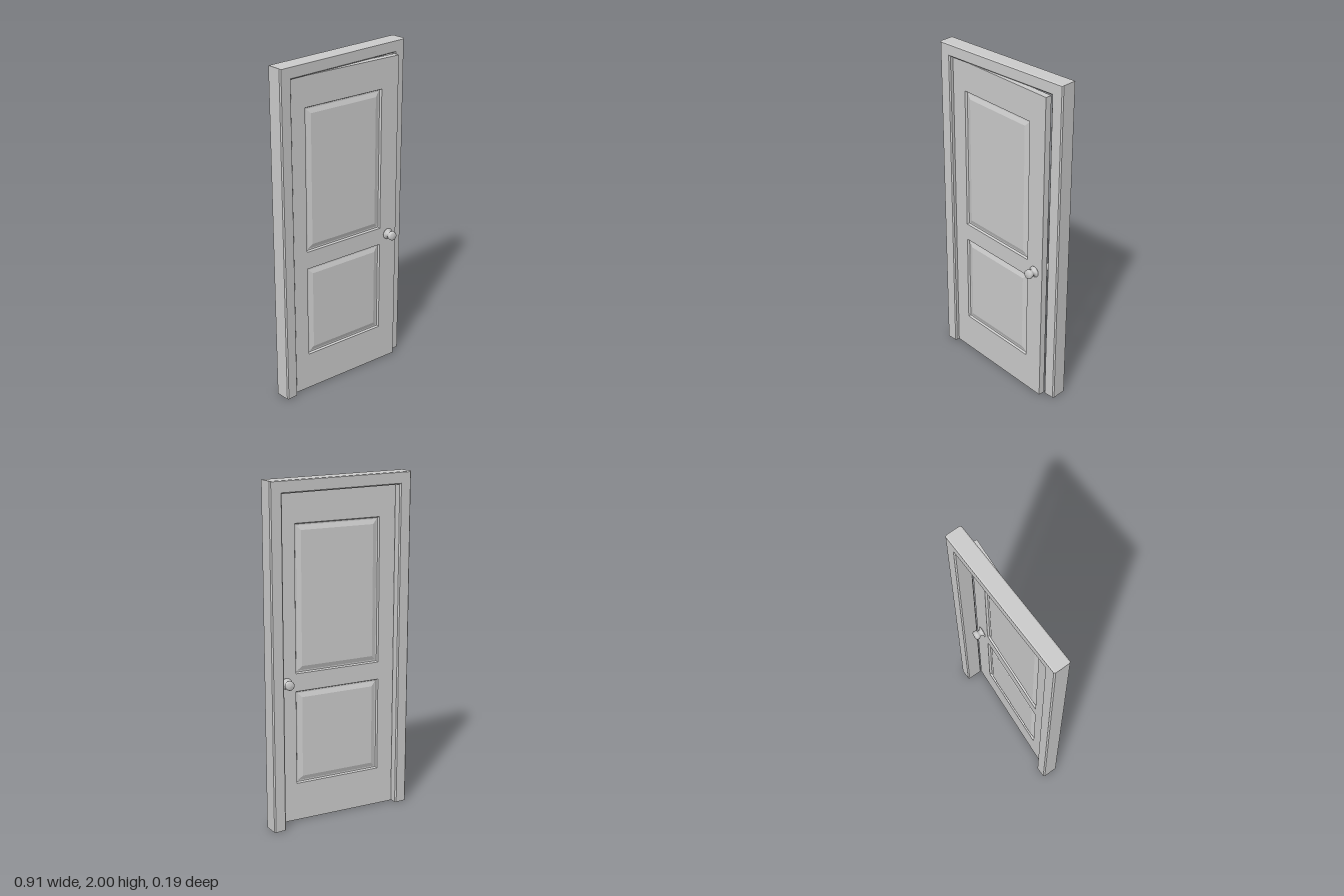
import * as THREE from 'three';

const material = new THREE.MeshStandardMaterial({ color: 0xcccccc, flatShading: true, side: THREE.DoubleSide });
const smooth = new THREE.MeshStandardMaterial({ color: 0xcccccc });

// Joins equally sized closed rings of [x, y, z] points with quads.
function loft(rings) {
  const n = rings[0].length;
  const index = [];
  for (let i = 0; i < rings.length - 1; i++) {
    for (let j = 0; j < n; j++) {
      const k = (j + 1) % n;
      const a = i * n + j, b = i * n + k, c = b + n, d = a + n;
      index.push(a, b, c, a, c, d);
    }
  }
  const g = new THREE.BufferGeometry();
  g.setAttribute('position', new THREE.Float32BufferAttribute(rings.flat(2), 3));
  g.setIndex(index);
  const flat = g.toNonIndexed();
  flat.computeVertexNormals();
  return flat;
}

function addMesh(parent, name, geometry, mat = material) {
  const mesh = new THREE.Mesh(geometry, mat);
  mesh.name = name;
  parent.add(mesh);
  return mesh;
}

// Chamfered profile swept up one jamb, across the head and down the other, open at the floor
function frameGeometry() {
  const halfOpening = 0.378, openingTop = 1.928, w = 0.075, c = 0.007;
  const back = -0.097, front = 0.003;
  const profile = [
    [c, back], [w - c, back], [w, back + c], [w, front - c],
    [w - c, front], [c, front], [0, front - c], [0, back + c],
  ];
  const stations = [[-1, 0], [-1, 1], [1, 1], [1, 0]];
  return loft(stations.map(([side, top]) =>
    profile.map(([o, z]) => [side * (halfOpening + o), top * (openingTop + Math.min(o, 0.072)), z])));
}

// Raised panel: groove, sloping border and flat field
function panelGeometry(width, height) {
  const steps = [[0, 0], [0.006, -0.012], [0.014, -0.012], [0.04, -0.003]];
  const rings = steps.map(([inset, z]) => {
    const x = width / 2 - inset, y = height / 2 - inset;
    return [[-x, -y, z], [x, -y, z], [x, y, z], [-x, y, z]];
  });
  rings.push(Array(4).fill([0, 0, -0.003]));
  return loft(rings);
}

function rectangle(PathType, x0, y0, x1, y1) {
  return new PathType([[x0, y0], [x1, y0], [x1, y1], [x0, y1]].map(p => new THREE.Vector2(...p)));
}

export function createModel() {
  const model = new THREE.Group();
  model.name = 'door';
  addMesh(model, 'frame', frameGeometry());

  // Door leaf, turned slightly open about its hinge edge
  const leaf = new THREE.Group();
  leaf.name = 'leaf';
  leaf.position.set(-0.375, 0, -0.02);
  leaf.rotation.y = -0.08;
  model.add(leaf);

  const thickness = 0.038;
  const panels = [
    { name: 'upperPanel', x0: 0.1, x1: 0.63, y0: 0.895, y1: 1.75 },
    { name: 'lowerPanel', x0: 0.1, x1: 0.63, y0: 0.23, y1: 0.79 },
  ];

  // Stiles and rails
  const shape = rectangle(THREE.Shape, 0, 0.002, 0.75, 1.925);
  for (const p of panels) shape.holes.push(rectangle(THREE.Path, p.x0, p.y0, p.x1, p.y1));
  const slab = new THREE.ExtrudeGeometry(shape, { depth: thickness, bevelEnabled: false });
  addMesh(leaf, 'stilesAndRails', slab.translate(0, 0, -thickness));

  const knobProfile = [
    [0, 0], [0.033, 0], [0.033, 0.004], [0.022, 0.009], [0.018, 0.015], [0.018, 0.024],
    [0.024, 0.03], [0.027, 0.037], [0.027, 0.05], [0.023, 0.056], [0, 0.058],
  ].map(p => new THREE.Vector2(...p));
  const knob = new THREE.LatheGeometry(knobProfile, 16).rotateX(Math.PI / 2);

  // Panels and a knob on both faces
  for (const [side, z, turn] of [['front', 0, 0], ['back', -thickness, Math.PI]]) {
    for (const p of panels) {
      const panel = addMesh(leaf, side + '_' + p.name, panelGeometry(p.x1 - p.x0, p.y1 - p.y0));
      panel.position.set((p.x0 + p.x1) / 2, (p.y0 + p.y1) / 2, z);
      panel.rotation.y = turn;
    }
    const handle = addMesh(leaf, side + '_knob', knob, smooth);
    handle.position.set(0.689, 0.845, z);
    handle.rotation.y = turn;
  }
  return model;
}
